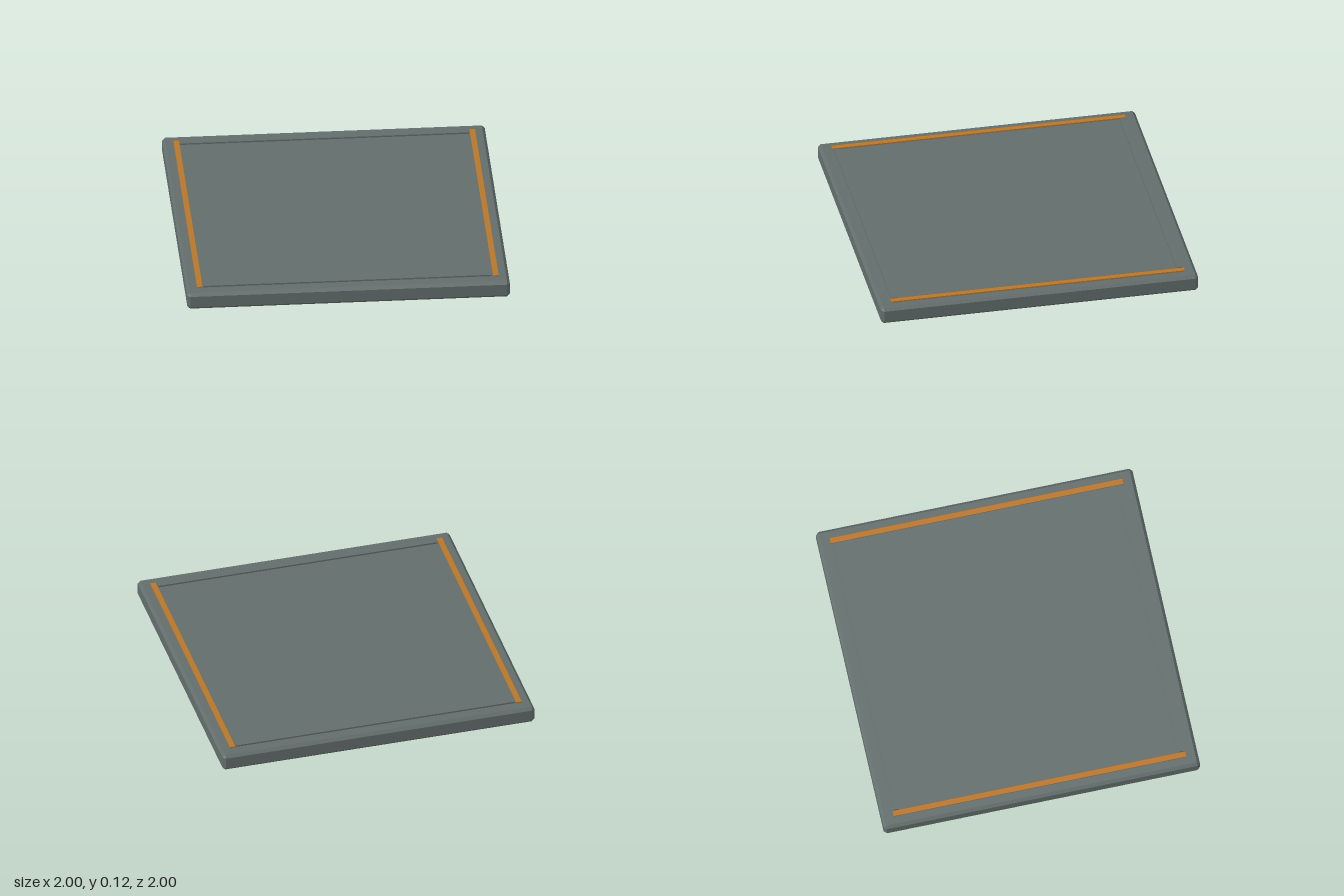
import * as THREE from 'three';
import { ConvexGeometry } from 'three/addons/geometries/ConvexGeometry.js';

// Box with every edge and corner cut flat
function chamferedBox(w, h, d, c) {
  const half = [w / 2, h / 2, d / 2];
  const points = [];
  for (const sx of [-1, 1]) for (const sy of [-1, 1]) for (const sz of [-1, 1]) {
    const s = [sx, sy, sz];
    for (let axis = 0; axis < 3; axis++) {
      points.push(new THREE.Vector3(...half.map((v, i) => s[i] * (i === axis ? v : v - c))));
    }
  }
  return new ConvexGeometry(points);
}

export function createModel() {
  const model = new THREE.Group();
  model.name = 'floorPanel';

  const slateGrey = new THREE.MeshStandardMaterial({ color: 0x626d6b });
  slateGrey.name = 'slateGrey';
  const amber = new THREE.MeshStandardMaterial({ color: 0xb87528 });
  amber.name = 'amber';

  const slabHeight = 0.11, railHeight = 0.01, railWidth = 0.034;

  function add(name, geometry, material, x, y, z) {
    const mesh = new THREE.Mesh(geometry, material);
    mesh.name = name;
    mesh.position.set(x, y, z);
    model.add(mesh);
  }

  // Main slab
  add('slab', chamferedBox(2, slabHeight, 2, 0.018), slateGrey, 0, slabHeight / 2, 0);

  // Low raised rails: amber along the sides, grey along the front and back
  const railY = slabHeight + railHeight / 2;
  const sideRail = new THREE.BoxGeometry(railWidth, railHeight, 1.85);
  const endRail = new THREE.BoxGeometry(1.79, railHeight, railWidth);
  for (const s of [-1, 1]) {
    add(s > 0 ? 'leftStripe' : 'rightStripe', sideRail, amber, s * 0.918, railY, 0);
    add(s > 0 ? 'frontRail' : 'backRail', endRail, slateGrey, 0, railY, s * 0.9);
  }

  return model;
}
